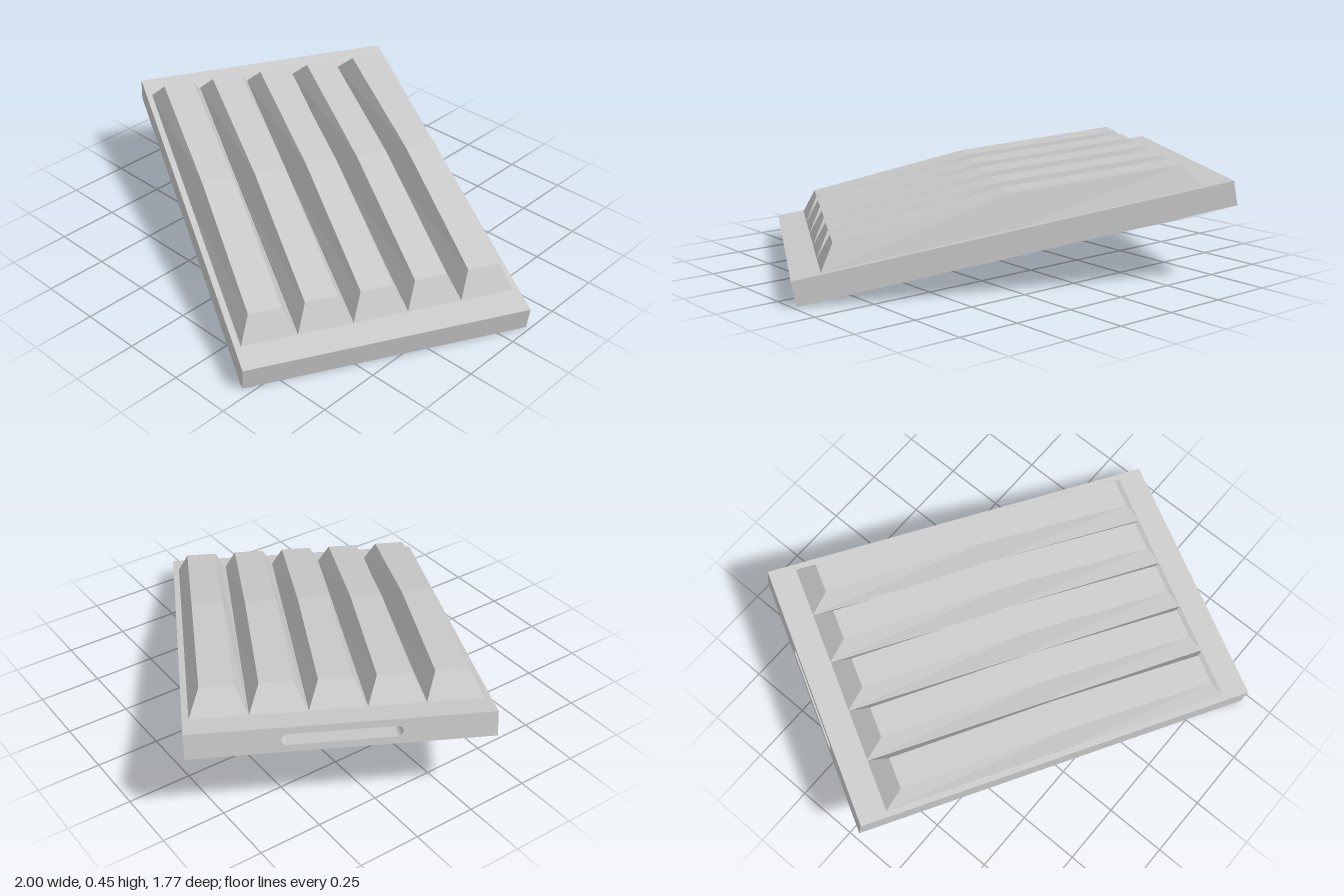
import * as THREE from 'three';

const L = 0.843, W = 0.555, T = 0.097;         // half length, half width, skirt height
const PITCH = 0.213, BASE = 0.105, INSET = 0.042; // rib spacing, half base, side slope
const END = 0.733, TOP_END = 0.668;            // rib foot and crest ends
const SLOT_HALF = 0.215, SLOT_R = 0.021, SLOT_DEPTH = 0.085;

const material = new THREE.MeshStandardMaterial({
  color: 0xcccccc, flatShading: true, side: THREE.DoubleSide,
});

function add(parent, name, geometry) {
  const mesh = new THREE.Mesh(geometry, material);
  mesh.name = name;
  parent.add(mesh);
  return mesh;
}

function rectangle(path, hx, hy, cy = 0) {
  path.moveTo(-hx, cy - hy);
  path.lineTo(hx, cy - hy);
  path.lineTo(hx, cy + hy);
  path.lineTo(-hx, cy + hy);
  path.closePath();
  return path;
}

// Rounded slot outline, long in x
function slotOutline(path) {
  const s = SLOT_HALF - SLOT_R;
  path.moveTo(-s, -SLOT_R);
  path.lineTo(s, -SLOT_R);
  path.absarc(s, 0, SLOT_R, -Math.PI / 2, Math.PI / 2, false);
  path.lineTo(-s, SLOT_R);
  path.absarc(-s, 0, SLOT_R, Math.PI / 2, Math.PI * 1.5, false);
  return path;
}

// Flat-faced surface from quads, corners counter-clockwise from outside
function quadGeometry(quads) {
  const positions = quads.flatMap(([a, b, c, d]) => [a, b, c, a, c, d].flat());
  const geometry = new THREE.BufferGeometry();
  geometry.setAttribute('position', new THREE.Float32BufferAttribute(positions, 3));
  geometry.computeVertexNormals();
  return geometry;
}

// Hollow rib: two sloping crest panels, sloping sides and ends, open below
function ribGeometry() {
  const stations = [[-END, -TOP_END, 0.09], [0, 0, 0.126], [END, TOP_END, 0.09]];
  const rings = stations.map(([foot, crest, h]) => [
    [foot, 0, BASE], [crest, h, BASE - INSET], [crest, h, INSET - BASE], [foot, 0, -BASE],
  ]);
  const quads = [];
  for (let i = 0; i < 2; i++) {
    const a = rings[i], b = rings[i + 1];
    for (let j = 0; j < 3; j++) quads.push([a[j], b[j], b[j + 1], a[j + 1]]);
  }
  quads.push([...rings[0]], [...rings[2]].reverse());
  return quadGeometry(quads);
}

export function createModel() {
  const model = new THREE.Group();
  model.name = 'ribbedCover';

  // Top flange, open beneath every rib
  const top = rectangle(new THREE.Shape(), L, W);
  for (let i = -2; i <= 2; i++) {
    top.holes.push(rectangle(new THREE.Path(), END, BASE, i * PITCH));
  }
  const flange = new THREE.ShapeGeometry(top);
  flange.rotateX(-Math.PI / 2);
  add(model, 'topFlange', flange).position.y = T;

  // Ribs side by side
  const rib = ribGeometry();
  for (let i = -2; i <= 2; i++) add(model, 'rib', rib).position.set(0, T, i * PITCH);

  // Thin skirt: two long sides and the low end
  for (const side of [1, -1]) {
    const wall = add(model, 'sideSkirt', new THREE.PlaneGeometry(2 * L, T));
    wall.position.set(0, T / 2, side * W);
    wall.rotation.y = side > 0 ? 0 : Math.PI;
  }
  const lowEnd = add(model, 'lowEndSkirt', new THREE.PlaneGeometry(2 * W, T));
  lowEnd.position.set(L, T / 2, 0);
  lowEnd.rotation.y = Math.PI / 2;

  // High end skirt with a recessed hand slot
  const highEnd = new THREE.Group();
  highEnd.name = 'highEnd';
  highEnd.position.set(-L, T / 2, 0);
  highEnd.rotation.y = -Math.PI / 2;
  model.add(highEnd);
  const endShape = rectangle(new THREE.Shape(), W, T / 2);
  endShape.holes.push(slotOutline(new THREE.Path()));
  add(highEnd, 'highEndSkirt', new THREE.ShapeGeometry(endShape, 8));

  // Slot pocket: wall swept inward and a closing panel
  const outline = slotOutline(new THREE.Shape());
  const points = outline.getPoints(8);
  add(highEnd, 'slotWall', quadGeometry(points.map((p, i) => {
    const q = points[(i + 1) % points.length];
    return [[p.x, p.y, 0], [q.x, q.y, 0], [q.x, q.y, -SLOT_DEPTH], [p.x, p.y, -SLOT_DEPTH]].reverse();
  })));
  add(highEnd, 'slotBack', new THREE.ShapeGeometry(outline, 8)).position.z = -SLOT_DEPTH;

  // Turned and tilted resting pose
  model.rotation.set(0, THREE.MathUtils.degToRad(-28), THREE.MathUtils.degToRad(-10.3));
  model.position.set(-0.008, 0.151, -0.004);

  const root = new THREE.Group();
  root.name = 'model';
  root.add(model);
  return root;
}
